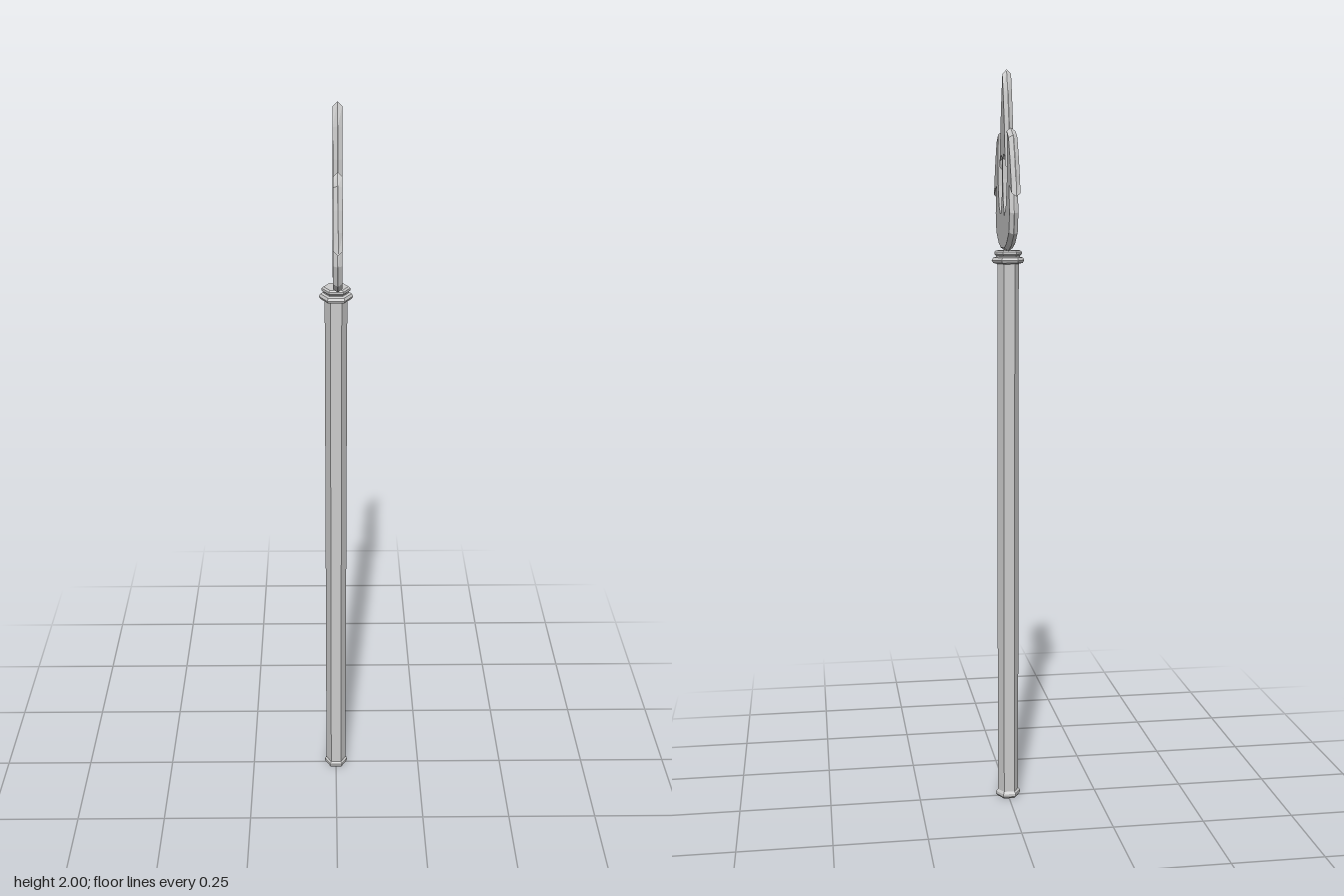
import * as THREE from 'three';

const material = new THREE.MeshStandardMaterial({ color: 0xcccccc, flatShading: true });

function addMesh(group, name, geometry) {
  const mesh = new THREE.Mesh(geometry, material);
  mesh.name = name;
  group.add(mesh);
  return mesh;
}

// Six-sided turned part with corners on the x axis; profile runs bottom to top
function hexLathe(profile) {
  const points = profile.map(([r, y]) => new THREE.Vector2(r, y));
  return new THREE.LatheGeometry(points, 6, Math.PI / 2);
}

export function createModel() {
  const group = new THREE.Group();

  // Pole
  addMesh(group, 'pole', hexLathe([[0, 0.005], [0.029, 0.005], [0.029, 1.51], [0, 1.51]]));

  // Rim at the foot of the pole
  addMesh(group, 'footRim', hexLathe([
    [0, 0], [0.029, 0], [0.034, 0.006], [0.034, 0.014], [0.029, 0.02],
  ]));

  // Double-ringed collar under the head
  addMesh(group, 'collar', hexLathe([
    [0.029, 1.498], [0.04, 1.501], [0.044, 1.508], [0.04, 1.515], [0.032, 1.517],
    [0.032, 1.52], [0.037, 1.524], [0.037, 1.53], [0.032, 1.534], [0, 1.534],
  ]));

  // Three-pronged head: half outline from the tip down, mirrored
  const half = [
    // middle prong, its barb and stem
    [0, 2], [0.022, 1.945], [0.041, 1.87], [0.051, 1.8], [0.056, 1.742], [0.043, 1.768],
    [0.026, 1.775], [0.011, 1.768], [0.013, 1.72], [0.021, 1.67], [0.036, 1.636],
    // inside of the side prong
    [0.055, 1.655], [0.07, 1.705], [0.076, 1.765], [0.075, 1.81], [0.071, 1.848],
    // outside of the side prong, barb and rounded base
    [0.115, 1.827], [0.14, 1.775], [0.158, 1.725], [0.169, 1.672], [0.123, 1.695],
    [0.136, 1.632], [0.123, 1.577], [0.076, 1.546], [0.034, 1.533],
  ];
  const mirrored = half.slice(1).reverse().map(([u, y]) => [-u, y]);
  const outline = [...half, ...mirrored].map(([u, y]) => new THREE.Vector2(u, y));
  const bevel = 0.008;
  const depth = 0.001;
  const headGeometry = new THREE.ExtrudeGeometry(new THREE.Shape(outline), {
    depth, bevelEnabled: true, bevelSegments: 1,
    bevelSize: bevel, bevelOffset: -bevel, bevelThickness: 0.011,
  });
  headGeometry.translate(0, 0, -depth / 2).rotateY(Math.PI / 2);
  addMesh(group, 'head', headGeometry).position.x = 0.0035;

  return group;
}
